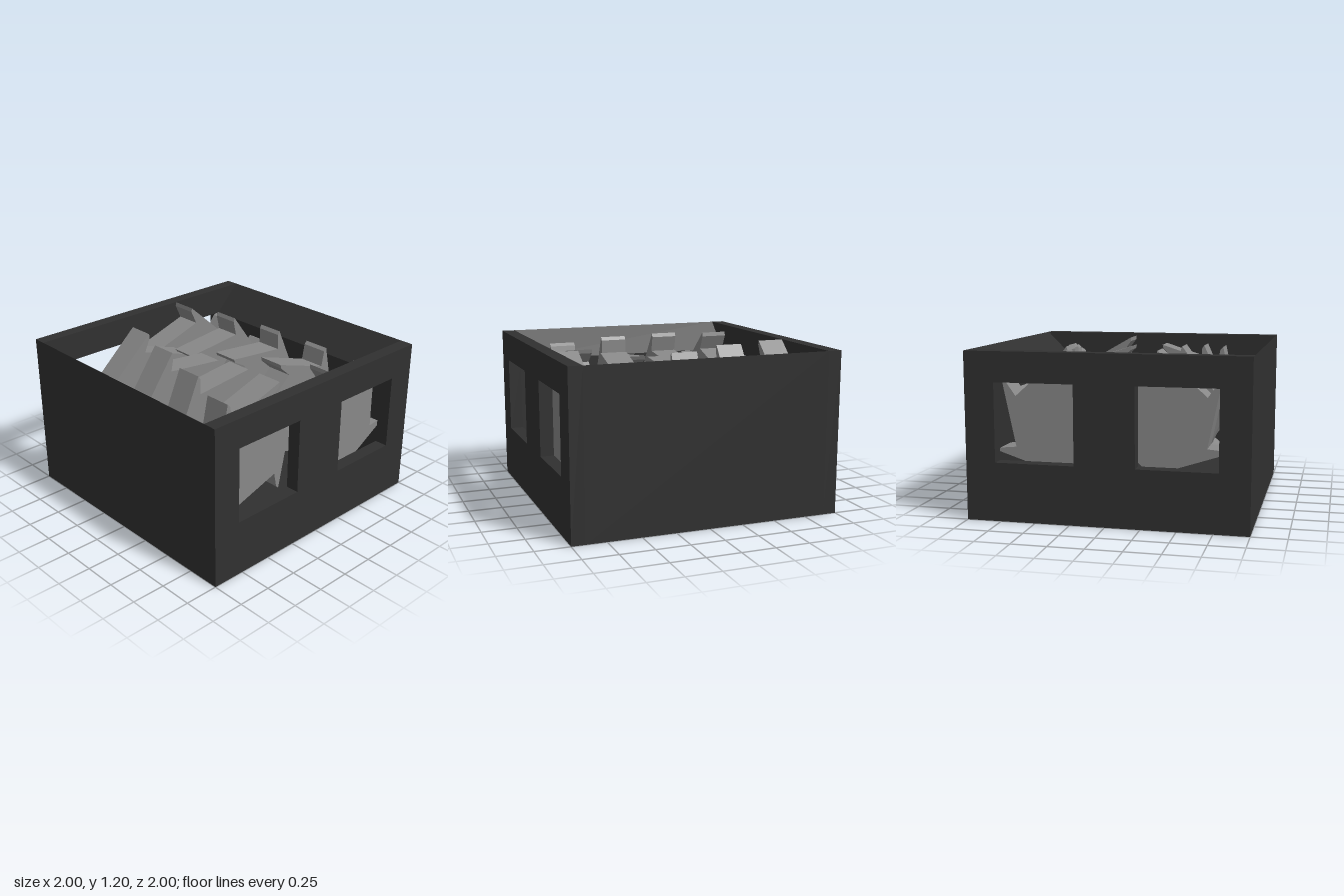
import * as THREE from 'three';

export function createModel() {
  const model = new THREE.Group();
  model.name = 'shredder';
  const darkHousing = new THREE.MeshStandardMaterial({ color: 0x303030 });
  darkHousing.name = 'dark housing';
  const greySteel = new THREE.MeshStandardMaterial({ color: 0x888888 });
  greySteel.name = 'grey steel';

  const toShape = pts => new THREE.Shape(pts.map(([x, y]) => new THREE.Vector2(x, y)));

  // Extrudes a shape so that it is centred on the given z
  function addSlab(name, shape, depth, z, material, parent) {
    const geometry = new THREE.ExtrudeGeometry(shape, { depth, bevelEnabled: false });
    geometry.translate(0, 0, z - depth / 2);
    const mesh = new THREE.Mesh(geometry, material);
    mesh.name = name;
    parent.add(mesh);
  }

  // Housing: trough with thick side walls, chamfered inwards at the top
  const housing = new THREE.Group();
  housing.name = 'housing';
  model.add(housing);
  const inner = 0.785, floor = 0.18;
  const trough = toShape([
    [-1, 0], [1, 0], [1, 1.2], [inner, 0.985], [inner, floor],
    [-inner, floor], [-inner, 0.985], [-1, 1.2],
  ]);
  addSlab('trough', trough, 1.8, 0, darkHousing, housing);

  // End walls, each with two square windows
  const wall = toShape([[-1, 0], [1, 0], [1, 1.2], [-1, 1.2]]);
  for (const [a, b] of [[-inner, -0.215], [0.215, inner]]) {
    wall.holes.push(toShape([[a, 0.42], [a, 0.985], [b, 0.985], [b, 0.42]]));
  }
  addSlab('frontWall', wall, 0.1, 0.95, darkHousing, housing);
  addSlab('backWall', wall, 0.1, -0.95, darkHousing, housing);

  // Six-toothed ratchet cutter; side -1 mirrors it for the other row
  function cutterShape(side, turn) {
    const pts = [];
    for (let k = 0; k < 6; k++) {
      // tooth tip, hook corner and root
      for (const [r, deg] of [[0.36, 0], [0.47, 6], [0.5, 5]].reverse()) {
        const a = THREE.MathUtils.degToRad(turn + deg - 60 * (5 - k));
        pts.push([r * Math.cos(a), r * Math.sin(a)]);
      }
    }
    // order each tooth clockwise: root, hook corner, tip, then the long back
    const ordered = [];
    for (let k = 5; k >= 0; k--) ordered.push(pts[3 * k + 2], pts[3 * k + 1], pts[3 * k]);
    return toShape(ordered.map(([x, y]) => [side * (0.35 + x), 0.7 + y]));
  }

  // Two interleaved rows of cutters, each turned 12 degrees from the last
  const rows = { 1: new THREE.Group(), '-1': new THREE.Group() };
  rows[1].name = 'leftCutters';
  rows[-1].name = 'rightCutters';
  model.add(rows[1], rows[-1]);
  for (let slot = 0; slot < 9; slot++) {
    const side = slot % 2 === 0 ? 1 : -1;
    const step = Math.ceil(slot / 2);
    addSlab('cutter' + (slot + 1), cutterShape(side, -18 + 12 * step), 0.2, 0.8 - 0.2 * slot,
      greySteel, rows[side]);
  }
  return model;
}
